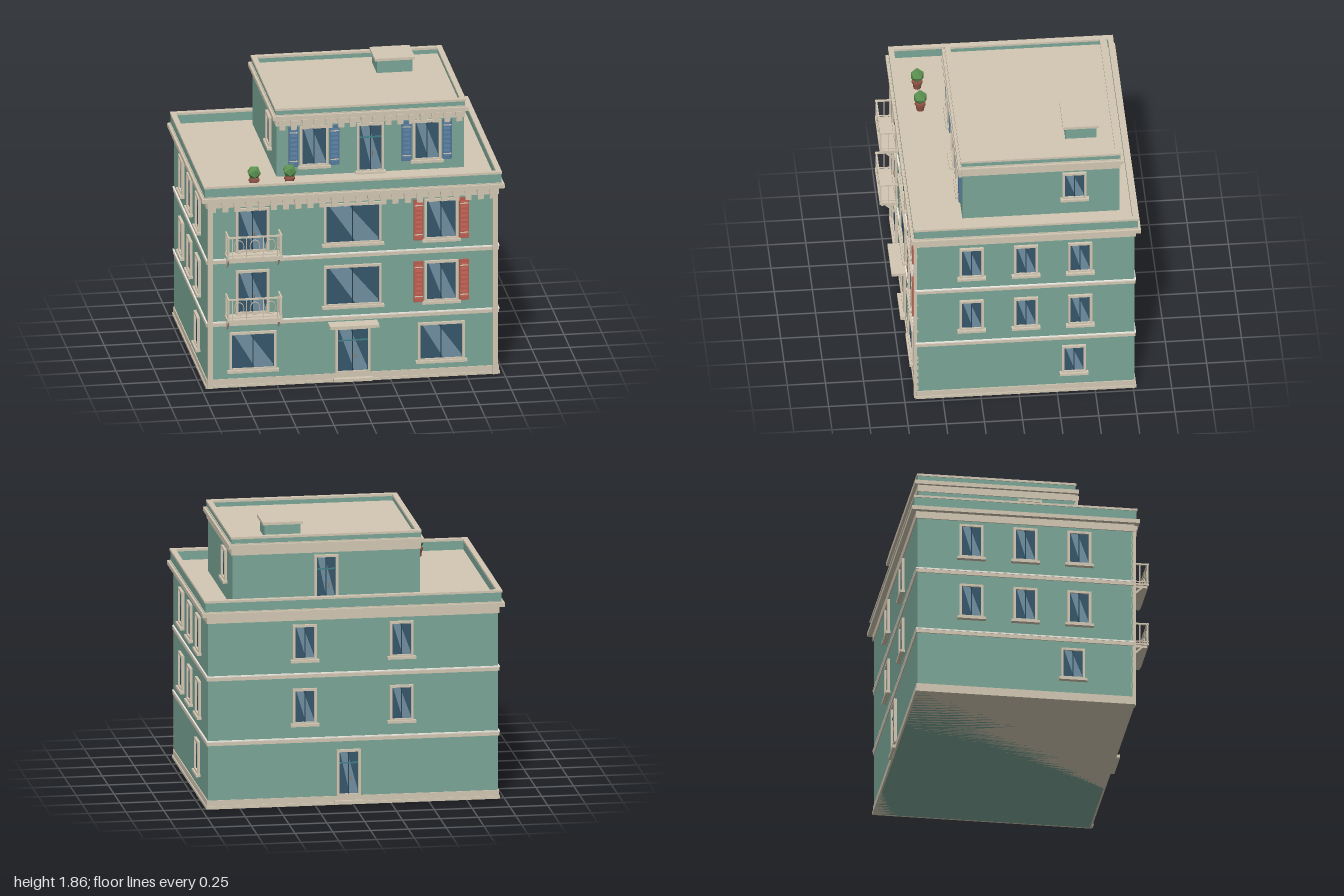
import * as THREE from 'three';

const mat = (color, extra = {}) => new THREE.MeshStandardMaterial({ color, ...extra });
const M = {
  wall: mat(0x7aa596), trim: mat(0xd3c7b2), pale: mat(0xf0ece2), glass: mat(0x36566a),
  glint: mat(0x6f8fa2), bar: mat(0x2a4252), teal: mat(0x3f8084), red: mat(0xb85c4e),
  blue: mat(0x54789a), pot: mat(0x8f5245), leaf: mat(0x5b9150, { flatShading: true }), brass: mat(0x9a7447),
};

function mesh(parent, name, geo, material, x = 0, y = 0, z = 0) {
  const m = new THREE.Mesh(geo, material);
  m.name = name;
  m.position.set(x, y, z);
  parent.add(m);
  return m;
}
const box = (p, name, material, w, h, d, x, y, z) =>
  mesh(p, name, new THREE.BoxGeometry(w, h, d), material, x, y, z);
function group(parent, name) {
  const g = new THREE.Group();
  g.name = name;
  parent.add(g);
  return g;
}
function polygon(points) {
  return new THREE.Shape(points.map(([x, y]) => new THREE.Vector2(x, y)));
}
const rect = (w, h) => [[-w / 2, -h / 2], [w / 2, -h / 2], [w / 2, h / 2], [-w / 2, h / 2]];
// Rectangular frame lying in the xy plane, extruded along +z
function frameGeo(w, h, t, depth) {
  const s = polygon(rect(w, h));
  s.holes.push(polygon(rect(w - 2 * t, h - 2 * t).reverse()));
  return new THREE.ExtrudeGeometry(s, { depth, bevelEnabled: false });
}

// Footprints of the two storeys blocks: centre and half sizes
const MAIN = { x: 0, z: -0.046, hx: 0.96, hz: 0.7125 };
const TOP = { x: 0.165, z: -0.16, hx: 0.62, hz: 0.515 };

// Slab over a footprint, grown outwards by g
const slab = (p, name, material, b, g, y0, y1) =>
  box(p, name, material, 2 * (b.hx + g), y1 - y0, 2 * (b.hz + g), b.x, (y0 + y1) / 2, b.z);
// Hollow wall around a footprint
function ring(p, name, material, b, g, t, y0, y1) {
  const geo = frameGeo(2 * (b.hx + g), 2 * (b.hz + g), t, y1 - y0);
  mesh(p, name, geo.rotateX(-Math.PI / 2), material, b.x, y0, b.z);
}

// Put a part on one wall; u runs to the right as seen from outside
const FRONT = 0, LEFT = 1, BACK = 2, RIGHT = 3;
function onWall(parent, name, b, side, u, y) {
  const g = group(parent, name);
  const a = side * Math.PI / 2, d = side % 2 ? b.hx : b.hz;
  g.rotation.y = a;
  g.position.set(b.x + Math.sin(a) * d + Math.cos(a) * u, y, b.z + Math.cos(a) * d - Math.sin(a) * u);
  return g;
}

// Glazed opening: surround, glass, reflection band, centre bar
function glazing(g, w, h) {
  const t = 0.016, gw = w - 2 * t, gh = h - 2 * t;
  mesh(g, 'surround', frameGeo(w, h, t, 0.018), M.trim);
  box(g, 'glass', M.glass, gw, gh, 0.006, 0, 0, 0.002);
  const band = polygon([[-0.45 * gw, gh / 2], [0.05 * gw, -gh / 2], [0.48 * gw, -gh / 2], [0.48 * gw, -0.42 * gh], [-0.08 * gw, gh / 2]]);
  mesh(g, 'reflection', new THREE.ShapeGeometry(band), M.glint, 0, 0, 0.0065);
  box(g, 'centreBar', M.bar, 0.006, gh, 0.008, 0, 0, 0.005);
}
function addWindow(p, b, side, u, y0, y1, w) {
  const h = y1 - y0, g = onWall(p, 'window', b, side, u, (y0 + y1) / 2);
  glazing(g, w, h);
  box(g, 'sill', M.trim, w + 0.03, 0.018, 0.032, 0, -h / 2 - 0.004, 0.015);
  return g;
}
function addDoor(p, b, side, u, y0, y1, w) {
  const h = y1 - y0, g = onWall(p, 'door', b, side, u, (y0 + y1) / 2);
  glazing(g, w, h);
  box(g, 'transomBar', M.teal, w - 0.032, 0.009, 0.01, 0, h * 0.21, 0.006);
  box(g, 'handle', M.brass, 0.006, 0.03, 0.012, 0.014, -h * 0.12, 0.01);
  return g;
}
function addShutters(g, offset, h, material) {
  for (const s of [-1, 1]) {
    const sh = group(g, 'shutter');
    sh.position.x = s * offset;
    mesh(sh, 'shutterFrame', frameGeo(0.062, h, 0.009, 0.016), material);
    box(sh, 'shutterPanel', material, 0.05, h - 0.01, 0.008, 0, 0, 0.004);
    for (let i = 0; i < 8; i++) {
      const slat = box(sh, 'slat', material, 0.046, 0.02, 0.004, 0, (i - 3.5) * (h - 0.03) / 8, 0.009);
      slat.rotation.x = -0.35;
    }
    for (const e of [-1, 1]) box(sh, 'hinge', M.trim, 0.056, 0.006, 0.004, 0, e * h * 0.36, 0.016);
  }
}

// Row of small brackets under a front cornice
function brackets(p, b, count, y0, y1) {
  const row = group(p, 'corniceBrackets');
  const span = 2 * b.hx - 0.07;
  for (let i = 0; i < count; i++) {
    const x = b.x + (i / (count - 1) - 0.5) * span;
    box(row, 'bracket', M.trim, 0.04, y1 - y0, 0.024, x, (y0 + y1) / 2, b.z + b.hz + 0.012);
    box(row, 'bracketTop', M.trim, 0.05, 0.03, 0.032, x, y1 - 0.015, b.z + b.hz + 0.016);
  }
}

function balcony(p, y) {
  const g = onWall(p, 'balcony', MAIN, FRONT, -0.6625, y);
  const D = 0.122, W = 0.365, H = 0.165;
  box(g, 'deckEdge', M.trim, W, 0.012, D, 0, -0.006, D / 2);
  box(g, 'deck', M.trim, W - 0.02, 0.018, D - 0.01, 0, -0.02, D / 2 - 0.005);
  const tri = polygon([[0, 0], [0, -0.07], [0.014, -0.07], [0.085, 0], [0.068, 0], [0.014, -0.05], [0.014, 0]]);
  for (const s of [-1, 1]) {
    const br = new THREE.ExtrudeGeometry(tri, { depth: 0.012, bevelEnabled: false });
    mesh(g, 'deckBracket', br.rotateY(-Math.PI / 2), M.trim, s * 0.168 + 0.006, -0.028, 0);
  }
  const rail = group(g, 'railing'), zf = D - 0.008, xs = W / 2 - 0.008;
  const post = (x, z, t) => box(rail, 'baluster', M.trim, t, H - 0.02, t, x, H / 2 - 0.01, z);
  for (const ry of [0.02, H - 0.02]) {
    const t = ry > 0.1 ? 0.011 : 0.007;
    box(rail, 'frontRail', M.trim, W, t, t, 0, ry - 0.005, zf);
    for (const s of [-1, 1]) box(rail, 'sideRail', M.trim, t, t, D, s * xs, ry - 0.005, D / 2);
  }
  for (const s of [-1, 1]) {
    post(s * xs, zf, 0.01);
    post(s * xs, 0.012, 0.008);
    post(s * xs, zf / 2 + 0.006, 0.006);
    post(s * 0.055, zf, 0.006);
    post(s * 0.15, zf, 0.006);
  }
  for (const x of [-0.105, 0, 0.105]) {
    const r = mesh(rail, 'railOval', new THREE.TorusGeometry(0.043, 0.0035, 6, 20), M.trim, x, 0.075, zf);
    r.scale.x = 0.75;
  }
}

function plant(p, x, z) {
  const g = group(p, 'pottedPlant');
  g.position.set(x, 1.325, z);
  mesh(g, 'pot', new THREE.CylinderGeometry(0.032, 0.024, 0.055, 12), M.pot, 0, 0.0275, 0);
  mesh(g, 'potRim', new THREE.CylinderGeometry(0.036, 0.036, 0.012, 12), M.pot, 0, 0.056, 0);
  mesh(g, 'foliage', new THREE.IcosahedronGeometry(0.048, 0), M.leaf, 0, 0.107, 0);
}

// Cornice, parapet and coping for one block, starting at height y
function roofEdge(p, b, y, over, wallTop, copingTop) {
  slab(p, 'cornice', M.trim, b, over, y, y + 0.027);
  slab(p, 'roofDeck', M.trim, b, over - 0.015, y + 0.027, y + 0.034);
  ring(p, 'parapet', M.wall, b, over - 0.02, 0.026, y + 0.03, wallTop);
  ring(p, 'coping', M.trim, b, over - 0.015, 0.036, wallTop, copingTop);
}

export function createModel() {
  const model = group(new THREE.Group(), 'house');
  model.removeFromParent();

  // Main block with plinth, string courses and frieze
  const main = group(model, 'mainBlock');
  slab(main, 'walls', M.wall, MAIN, 0, 0, 1.3);
  slab(main, 'plinth', M.trim, MAIN, 0.006, 0, 0.058);
  slab(main, 'plinthFoot', M.trim, MAIN, 0.012, 0, 0.018);
  for (const y of [0.425, 0.86]) {
    slab(main, 'stringCourse', M.trim, MAIN, 0.007, y, y + 0.024);
    slab(main, 'stringCourseCap', M.pale, MAIN, 0.01, y + 0.024, y + 0.033);
  }
  slab(main, 'frieze', M.trim, MAIN, 0.008, 1.248, 1.296);
  for (const s of [-1, 1]) box(main, 'cornerPilaster', M.trim, 0.036, 1.29, 0.03, s * 0.942, 0.645, 0.671);
  roofEdge(main, MAIN, 1.296, 0.04, 1.39, 1.405);
  brackets(main, MAIN, 24, 1.222, 1.296);

  // Rooftop storey
  const top = group(model, 'rooftopStorey');
  slab(top, 'walls', M.wall, TOP, 0, 1.32, 1.73);
  slab(top, 'frieze', M.trim, TOP, 0.006, 1.68, 1.726);
  roofEdge(top, TOP, 1.726, 0.026, 1.79, 1.805);
  brackets(top, TOP, 16, 1.658, 1.726);
  box(top, 'roofHatch', M.wall, 0.235, 0.1, 0.205, 0.4325, 1.8, -0.4425);
  box(top, 'roofHatchCap', M.trim, 0.265, 0.018, 0.235, 0.4325, 1.855, -0.4425);

  // Front openings
  for (const u of [-0.66, 0.585]) addWindow(main, MAIN, FRONT, u, 0.115, 0.38, 0.31);
  for (const y of [0.525, 0.955]) {
    const top1 = y + 0.283;
    addDoor(main, MAIN, FRONT, -0.663, y - 0.02, top1, 0.222).getObjectByName('transomBar').removeFromParent();
    balcony(main, y - 0.02);
    addWindow(main, MAIN, FRONT, 0, y, top1, 0.38);
    addShutters(addWindow(main, MAIN, FRONT, 0.585, y, top1, 0.222), 0.15, 0.28, M.red);
  }
  addDoor(main, MAIN, FRONT, 0, 0.058, 0.378, 0.232);
  box(main, 'canopy', M.trim, 0.325, 0.02, 0.105, 0, 0.405, 0.713);
  box(main, 'frontStep', M.trim, 0.26, 0.022, 0.06, 0, 0.017, 0.675);
  for (const s of [-1, 1])
    addShutters(addWindow(top, TOP, FRONT, s * 0.373, 1.395, 1.675, 0.188), 0.135, 0.275, M.blue);
  addDoor(top, TOP, FRONT, 0, 1.335, 1.675, 0.178);
  box(top, 'doorStep', M.trim, 0.2, 0.014, 0.05, TOP.x, 1.336, 0.37);

  // Side openings, the same on both sides when turned half round
  for (const side of [LEFT, RIGHT]) {
    for (const y of [0.55, 0.98])
      for (const u of [-0.356, 0, 0.356]) addWindow(main, MAIN, side, u, y, y + 0.24, 0.158);
    addWindow(main, MAIN, side, 0.315, 0.155, 0.375, 0.158);
    addWindow(top, TOP, side, 0.22, 1.455, 1.665, 0.158);
  }

  // Back openings
  for (const y of [0.55, 0.98])
    for (const u of [-0.32, 0.32]) addWindow(main, MAIN, BACK, u, y, y + 0.24, 0.158);
  addDoor(main, MAIN, BACK, -0.03, 0.058, 0.37, 0.158);
  box(main, 'backStep', M.trim, 0.19, 0.022, 0.06, 0.03, 0.017, -0.758);
  addDoor(top, TOP, BACK, 0, 1.335, 1.665, 0.158);

  plant(model, -0.63, 0.53);
  plant(model, -0.395, 0.53);
  return model;
}
